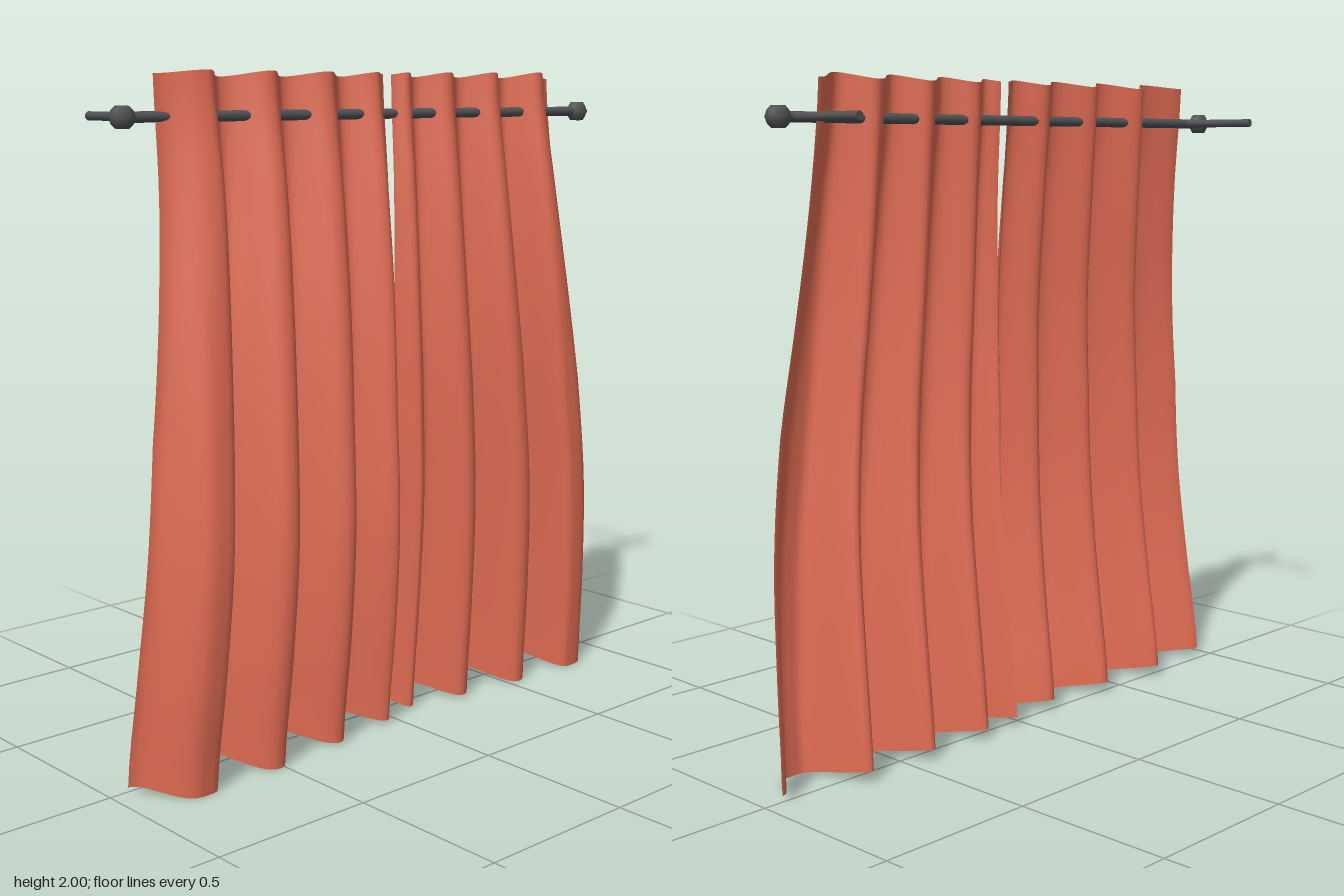
import * as THREE from 'three';

const cloth = new THREE.MeshStandardMaterial({ color: 0xde6b52, side: THREE.DoubleSide });
cloth.name = 'terracotta cloth';
const metal = new THREE.MeshStandardMaterial({ color: 0x505254 });
metal.name = 'dark metal';

// Smooth curve through evenly spaced values, t from 0 to 1
function curve(values) {
  const spline = new THREE.SplineCurve(values.map((v, i) => new THREE.Vector2(i, v)));
  return (t) => spline.getPoint(t).y;
}

// Pleats across a panel: position, depth at the hem (0 back, 1 front)
const pleats = [
  [0, 0.12], [0.055, 0.5], [0.17, 0.06], [0.285, 0.64], [0.43, 0.02],
  [0.545, 0.82], [0.70, 0], [0.815, 1], [1, 0.18],
];

// Depth of the folds at u across and t down: shallow at the top, full and rounded at the hem
function pleatDepth(u, t, topDepths) {
  let i = 0;
  while (i < pleats.length - 2 && u > pleats[i + 1][0]) i++;
  const [a, b] = [pleats[i][0], pleats[i + 1][0]];
  const f = (1 - Math.cos(Math.PI * (u - a) / (b - a))) / 2;
  const at = (k) => THREE.MathUtils.lerp(topDepths[k], pleats[k][1], Math.min(1, t * 2));
  const s = THREE.MathUtils.lerp(at(i), at(i + 1), f);
  return THREE.MathUtils.lerp(s, Math.sin(s * Math.PI / 2), Math.min(1, t * 2));
}

// A hanging sheet whose back and front folds follow height curves
function makePanel(name, { topDepths, back, front, inner, outer }) {
  const [backX, frontX, innerZ, outerZ] = [back, front, inner, outer].map(curve);
  const geo = new THREE.PlaneGeometry(1, 1, 80, 28);
  const pos = geo.attributes.position;
  for (let i = 0; i < pos.count; i++) {
    const u = pos.getX(i) + 0.5, t = 0.5 - pos.getY(i);
    const s = pleatDepth(u, t, topDepths);
    const top = 1.98 + 0.02 * s, hem = 0.04 - 0.037 * s;
    pos.setXYZ(i,
      THREE.MathUtils.lerp(backX(t), frontX(t), s),
      THREE.MathUtils.lerp(top, hem, t),
      THREE.MathUtils.lerp(innerZ(t), outerZ(t), u));
  }
  geo.computeVertexNormals();
  const mesh = new THREE.Mesh(geo, cloth);
  mesh.name = name;
  return mesh;
}

export function createModel() {
  const group = new THREE.Group();
  group.name = 'curtains';
  const add = (name, geo, x, y, z) => {
    const mesh = new THREE.Mesh(geo, metal);
    mesh.name = name;
    mesh.position.set(x, y, z);
    group.add(mesh);
  };

  // Cloth panels
  group.add(makePanel('leftCurtain', {
    topDepths: [0.55, 0.85, 0.2, 0.9, 0.16, 0.95, 0.12, 1, 0.5],
    back: [-0.022, -0.005, 0.03, 0.045, 0.04, 0.01, -0.03],
    front: [0.067, 0.125, 0.17, 0.205, 0.227, 0.21, 0.17],
    inner: [-0.008, -0.004, 0, 0.006, 0.006, 0, -0.008],
    outer: [0.815, 0.826, 0.858, 0.89, 0.918, 0.943, 0.957],
  }));
  group.add(makePanel('rightCurtain', {
    topDepths: [0.55, 0.85, 0.2, 0.9, 0.16, 0.95, 0.12, 1, 0.05],
    back: [-0.025, -0.012, 0.005, 0.02, -0.002, -0.042, -0.077],
    front: [0.067, 0.112, 0.145, 0.16, 0.166, 0.155, 0.135],
    inner: [-0.042, -0.036, -0.03, -0.034, -0.04, -0.04, -0.038],
    outer: [-0.782, -0.8, -0.832, -0.873, -0.914, -0.938, -0.952],
  }));

  // Rod, finials and wall brackets
  const rodX = 0.027, rodY = 1.876;
  add('rod', new THREE.CylinderGeometry(0.015, 0.015, 1.8, 12).rotateX(Math.PI / 2), rodX, rodY, 0.02);
  for (const [side, finialZ, bracketZ] of [['left', 0.918, 0.85], ['right', -0.882, -0.825]]) {
    add(side + 'Finial', new THREE.SphereGeometry(0.036, 6, 5).rotateX(Math.PI / 2), rodX, rodY, finialZ);
    add(side + 'Bracket', new THREE.CylinderGeometry(0.013, 0.013, 0.26, 10).rotateZ(Math.PI / 2), -0.105, rodY, bracketZ);
  }
  return group;
}
